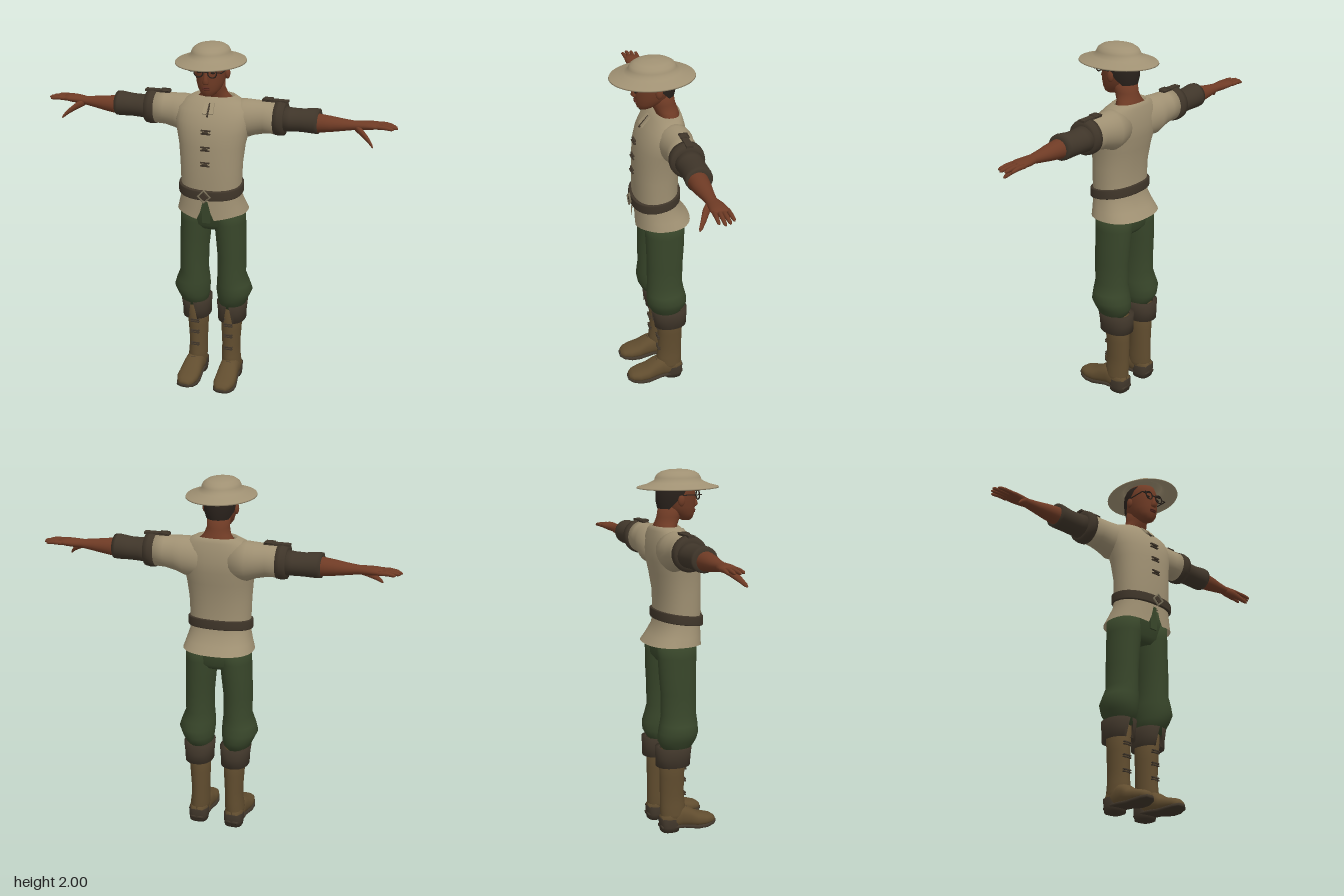
import * as THREE from 'three';

const mat = (name, color) => {
  const m = new THREE.MeshStandardMaterial({ color, side: THREE.DoubleSide });
  m.name = name;
  return m;
};

// Skin over elliptical rings along an axis. Section: [x, y, z, radiusA, radiusB, frontGap].
function loft(axis, sections, { n = 28, pow = 1, open = false, caps = true, warp } = {}) {
  const pos = [], idx = [], v = new THREE.Vector3();
  const e = (k) => Math.sign(k) * Math.abs(k) ** pow;
  const m = open ? n + 1 : n;
  const put = (x, y, z) => {
    v.set(x, y, z);
    if (warp) warp(v);
    pos.push(v.x, v.y, v.z);
  };
  for (const [x, y, z, a, b, gap = 0] of sections) {
    for (let j = 0; j < m; j++) {
      const t = Math.PI / 2 + gap + (2 * Math.PI - 2 * gap) * j / n;
      const c = a * e(Math.cos(t)), s = b * e(Math.sin(t));
      if (axis === 'y') put(x + c, y, z + s);
      else if (axis === 'x') put(x, y + c, z - s);
      else put(x + c, y - s, z);
    }
  }
  for (let i = 0; i < sections.length - 1; i++) {
    for (let j = 0; j < n; j++) {
      const k = (j + 1) % m, a = i * m + j, b = i * m + k, c = a + m, d = b + m;
      idx.push(a, c, b, b, c, d);
    }
  }
  if (caps && !open) {
    const last = sections.length - 1;
    for (const i of [0, last]) {
      const centre = pos.length / 3;
      put(...sections[i]);
      for (let j = 0; j < n; j++) {
        const a = i * m + j, b = i * m + (j + 1) % m;
        if (i === 0) idx.push(centre, a, b);
        else idx.push(centre, b, a);
      }
    }
  }
  const g = new THREE.BufferGeometry();
  g.setAttribute('position', new THREE.Float32BufferAttribute(pos, 3));
  g.setIndex(idx);
  g.computeVertexNormals();
  return g;
}

const box = (w, h, d, x, y, z, rx = 0, rz = 0) =>
  new THREE.BoxGeometry(w, h, d).rotateX(rx).rotateZ(rz).translate(x, y, z);

// Mirror across x = 0 and restore the winding.
function mirrored(geo) {
  const g = geo.clone().scale(-1, 1, 1), a = g.index.array;
  for (let i = 0; i < a.length; i += 3) [a[i], a[i + 1]] = [a[i + 1], a[i]];
  g.computeVertexNormals();
  return g;
}

export function createModel() {
  const model = new THREE.Group();
  const cloth = mat('creamCloth', 0xa09173), skin = mat('skin', 0x6f3b25);
  const green = mat('greenCloth', 0x38462a), leather = mat('darkLeather', 0x40362a);
  const boot = mat('bootLeather', 0x614d2f), hair = mat('blackHair', 0x2a221c);
  const lip = mat('lip', 0x592a20), metal = mat('metal', 0x7d735c);
  const add = (name, geo, material) => {
    const mesh = new THREE.Mesh(geo, material);
    mesh.name = name;
    model.add(mesh);
  };
  const pair = (name, geo, material) => {
    add(name + 'Left', geo, material);
    add(name + 'Right', mirrored(geo), material);
  };

  // Hat
  const profile = [[0.215, 1.9], [0.227, 1.902], [0.224, 1.908], [0.18, 1.919], [0.148, 1.933],
    [0.13, 1.943], [0.125, 1.958], [0.115, 1.974], [0.092, 1.988], [0.055, 1.997], [0, 2]];
  add('hat', new THREE.LatheGeometry(profile.map((p) => new THREE.Vector2(...p)), 48)
    .scale(0.815, 1, 1), cloth);

  // Head, neck and face
  add('head', loft('y', [[0, 1.728, 0.045, 0.022, 0.025], [0, 1.74, 0.04, 0.04, 0.043],
    [0, 1.765, 0.02, 0.06, 0.07], [0, 1.8, 0, 0.074, 0.095], [0, 1.85, -0.01, 0.083, 0.105],
    [0, 1.9, -0.01, 0.084, 0.103], [0, 1.95, -0.01, 0.07, 0.085]]), skin);
  add('neck', loft('y', [[0, 1.64, -0.085, 0.1, 0.06], [0, 1.69, -0.08, 0.094, 0.06],
    [0, 1.715, -0.07, 0.072, 0.062], [0, 1.75, -0.055, 0.06, 0.065],
    [0, 1.81, -0.04, 0.062, 0.07]]), skin);
  add('hair', loft('y', [[0, 1.795, -0.015, 0.076, 0.1, 2.2], [0, 1.83, -0.013, 0.085, 0.11, 1.85],
    [0, 1.87, -0.012, 0.09, 0.112, 1.5], [0, 1.91, -0.012, 0.09, 0.108, 1.25],
    [0, 1.94, -0.012, 0.078, 0.094, 1]], { open: true }), hair);
  add('nose', loft('y', [[0, 1.8, 0.092, 0.014, 0.012], [0, 1.81, 0.097, 0.019, 0.019],
    [0, 1.83, 0.095, 0.012, 0.015], [0, 1.87, 0.09, 0.009, 0.009]], { n: 12 }), skin);
  for (const [y, z] of [[1.781, 0.09], [1.772, 0.088]])
    add('lip', new THREE.SphereGeometry(1, 12, 8).scale(0.023, 0.0055, 0.01).translate(0, y, z), lip);
  pair('ear', new THREE.SphereGeometry(1, 12, 10).scale(0.013, 0.03, 0.02).translate(0.087, 1.84, -0.015), skin);
  pair('eye', new THREE.SphereGeometry(1, 12, 8).scale(0.014, 0.006, 0.006).translate(0.036, 1.862, 0.087), hair);
  pair('brow', box(0.04, 0.007, 0.008, 0.038, 1.889, 0.085, 0, -0.08), hair);
  pair('glassesRim', new THREE.TorusGeometry(0.024, 0.0035, 6, 24).translate(0.037, 1.863, 0.1), hair);
  pair('glassesArm', box(0.004, 0.005, 0.12, 0.088, 1.868, 0.04), hair);
  pair('glassesHinge', box(0.03, 0.005, 0.005, 0.075, 1.868, 0.098), hair);
  add('glassesBridge', box(0.024, 0.005, 0.005, 0, 1.868, 0.103), hair);

  // Shirt
  add('shirt', loft('y', [[0, 1.15, -0.013, 0.163, 0.118], [0, 1.25, -0.01, 0.168, 0.12],
    [0, 1.35, -0.012, 0.172, 0.121], [0, 1.45, -0.022, 0.182, 0.128], [0, 1.52, -0.033, 0.198, 0.131],
    [0, 1.58, -0.043, 0.207, 0.125], [0, 1.64, -0.054, 0.2, 0.107], [0, 1.68, -0.068, 0.16, 0.083],
    [0, 1.705, -0.076, 0.112, 0.066], [0, 1.69, -0.076, 0.1, 0.06]],
  { n: 36, pow: 0.88, caps: false }), cloth);
  add('shirtTail', loft('y', [[0, 1.065, -0.045, 0.196, 0.155, 0.2], [0, 1.11, -0.03, 0.182, 0.138, 0.12],
    [0, 1.16, -0.015, 0.168, 0.122, 0.04], [0, 1.21, -0.012, 0.165, 0.118, 0]],
  { n: 40, pow: 0.85, open: true, warp: (v) => {
    if (v.y < 1.15 && v.z > 0.03) v.y -= 0.03 * (1 - Math.min(1, Math.abs(v.x) / 0.16));
  } }), cloth);
  pair('shirtSleeve', loft('x', [[0.08, 1.585, -0.075, 0.1, 0.085], [0.17, 1.583, -0.08, 0.107, 0.095],
    [0.22, 1.592, -0.082, 0.096, 0.085], [0.28, 1.598, -0.083, 0.088, 0.08],
    [0.35, 1.6, -0.083, 0.087, 0.081]]), cloth);
  add('neckSlit', box(0.008, 0.08, 0.008, 0, 1.648, 0.047, -0.72), leather);
  pair('collarFlap', box(0.022, 0.07, 0.008, 0.017, 1.655, 0.042, -0.72, 0.1), cloth);
  for (const [y, z] of [[1.54, 0.1], [1.45, 0.107], [1.365, 0.111]]) {
    for (const d of [-0.009, 0.009]) add('toggleCord', box(0.052, 0.006, 0.012, 0, y + d, z), leather);
    add('togglePeg', new THREE.CylinderGeometry(0.006, 0.006, 0.03, 8).rotateZ(Math.PI / 2)
      .translate(0, y, z + 0.008), leather);
  }

  // Belt, higher at the back
  const slope = (v) => { v.y -= (v.z + 0.01) * 0.14; };
  add('belt', loft('y', [[0, 1.18, -0.01, 0.16, 0.115], [0, 1.18, -0.01, 0.176, 0.132],
    [0, 1.185, -0.01, 0.179, 0.135], [0, 1.227, -0.01, 0.179, 0.135],
    [0, 1.232, -0.01, 0.176, 0.132], [0, 1.232, -0.01, 0.16, 0.115]],
  { n: 40, pow: 0.88, caps: false, warp: slope }), leather);
  add('buckle', new THREE.TorusGeometry(0.034, 0.006, 6, 4).translate(0, 1.187, 0.13), metal);
  add('buckleCentre', box(0.028, 0.028, 0.012, 0, 1.187, 0.126, 0, Math.PI / 4), leather);

  // Dark arm sleeves, bands and shoulder straps
  pair('armBand', loft('x', [[0.335, 1.6, -0.085, 0.07, 0.07], [0.335, 1.6, -0.085, 0.092, 0.089],
    [0.36, 1.6, -0.085, 0.095, 0.092], [0.388, 1.6, -0.085, 0.09, 0.088],
    [0.388, 1.6, -0.085, 0.06, 0.06]], { caps: false }), leather);
  pair('armSleeve', loft('x', [[0.36, 1.598, -0.088, 0.07, 0.075], [0.42, 1.596, -0.09, 0.063, 0.07],
    [0.48, 1.597, -0.092, 0.062, 0.068], [0.55, 1.6, -0.09, 0.068, 0.07],
    [0.57, 1.6, -0.09, 0.066, 0.068], [0.565, 1.595, -0.085, 0.04, 0.04]]), leather);
  pair('shoulderStrap', box(0.14, 0.012, 0.036, 0.33, 1.692, -0.088), leather);
  pair('strapBuckle', new THREE.TorusGeometry(0.03, 0.005, 6, 4).rotateZ(Math.PI / 4)
    .rotateX(Math.PI / 2).translate(0.29, 1.698, -0.088), leather);

  // Forearms and hands
  pair('forearm', loft('x', [[0.5, 1.593, -0.085, 0.05, 0.052], [0.57, 1.592, -0.083, 0.05, 0.052],
    [0.64, 1.593, -0.085, 0.041, 0.046], [0.7, 1.594, -0.088, 0.032, 0.036],
    [0.76, 1.596, -0.09, 0.024, 0.029], [0.81, 1.6, -0.098, 0.023, 0.04],
    [0.85, 1.602, -0.1, 0.021, 0.045], [0.885, 1.603, -0.102, 0.015, 0.044]], { n: 20 }), skin);
  [[0.955, -0.143, -0.138], [0.975, -0.118, -0.114], [0.983, -0.092, -0.094], [0.965, -0.066, -0.07]]
    .forEach(([tip, zTip, z]) => pair('finger', loft('x', [[0.865, 1.602, z, 0.012, 0.012],
      [(0.87 + tip) / 2, 1.603, (z + zTip) / 2, 0.011, 0.011], [tip - 0.012, 1.599, zTip, 0.009, 0.009],
      [tip, 1.597, zTip, 0.004, 0.004]], { n: 10 }), skin));
  pair('thumb', loft('x', [[0.765, 1.588, -0.08, 0.018, 0.018], [0.8, 1.573, -0.055, 0.021, 0.02],
    [0.84, 1.545, -0.03, 0.015, 0.015], [0.866, 1.52, -0.01, 0.01, 0.01],
    [0.873, 1.512, -0.004, 0.004, 0.004]], { n: 12 }), skin);

  // Trousers
  add('trouserSeat', loft('y', [[0, 0.96, -0.045, 0.09, 0.075], [0, 0.99, -0.045, 0.165, 0.1],
    [0, 1.06, -0.042, 0.178, 0.11], [0, 1.14, -0.025, 0.158, 0.108]], { pow: 0.85 }), green);
  add('trouserFly', box(0.045, 0.14, 0.01, 0, 1.09, 0.088), green);
  pair('trouserLeg', loft('y', [[0.11, 0.465, -0.055, 0.05, 0.06], [0.11, 0.495, -0.055, 0.076, 0.088],
    [0.116, 0.535, -0.055, 0.088, 0.11], [0.124, 0.58, -0.05, 0.101, 0.113],
    [0.118, 0.625, -0.045, 0.093, 0.107], [0.11, 0.68, -0.042, 0.079, 0.1],
    [0.11, 0.8, -0.042, 0.08, 0.101], [0.104, 0.9, -0.045, 0.084, 0.105],
    [0.097, 1, -0.045, 0.087, 0.109], [0.095, 1.08, -0.045, 0.088, 0.11]]), green);

  // Boots with split cuffs, laces, soles and heels
  pair('bootCuff', loft('y', [[0.105, 0.4, -0.074, 0.06, 0.07, 0.3], [0.105, 0.385, -0.074, 0.078, 0.096, 0.3],
    [0.105, 0.44, -0.073, 0.08, 0.099, 0.18], [0.106, 0.495, -0.07, 0.086, 0.102, 0.06],
    [0.106, 0.49, -0.07, 0.06, 0.08, 0.06]], { open: true, pow: 0.9 }), leather);
  pair('bootShaft', loft('y', [[0.105, 0.05, -0.078, 0.05, 0.066], [0.104, 0.1, -0.072, 0.055, 0.074],
    [0.1, 0.15, -0.075, 0.052, 0.072], [0.099, 0.22, -0.078, 0.051, 0.069],
    [0.1, 0.32, -0.078, 0.057, 0.071], [0.102, 0.47, -0.076, 0.065, 0.075]]), boot);
  pair('bootFoot', loft('z', [[0.105, 0.06, -0.145, 0.035, 0.035], [0.105, 0.07, -0.11, 0.052, 0.055],
    [0.105, 0.08, -0.03, 0.054, 0.062], [0.107, 0.07, 0.015, 0.057, 0.056],
    [0.109, 0.052, 0.06, 0.061, 0.043], [0.11, 0.045, 0.11, 0.06, 0.035],
    [0.11, 0.042, 0.15, 0.047, 0.026], [0.11, 0.038, 0.17, 0.028, 0.016]], { pow: 0.85 }), boot);
  pair('bootSole', loft('z', [[0.105, 0.03, -0.15, 0.035, 0.01], [0.105, 0.03, -0.1, 0.053, 0.011],
    [0.106, 0.026, -0.02, 0.053, 0.012], [0.109, 0.014, 0.06, 0.063, 0.013],
    [0.11, 0.015, 0.11, 0.063, 0.013], [0.11, 0.022, 0.155, 0.049, 0.012],
    [0.11, 0.028, 0.177, 0.026, 0.009]], { pow: 0.6 }), leather);
  pair('bootHeel', loft('y', [[0.105, 0, -0.095, 0.05, 0.05], [0.105, 0.03, -0.096, 0.054, 0.054],
    [0.105, 0.075, -0.098, 0.055, 0.054], [0.105, 0.078, -0.098, 0.045, 0.045]], { pow: 0.7 }), leather);
  for (const [y, z] of [[0.36, -0.006], [0.29, -0.008], [0.21, -0.01]])
    for (const d of [-0.006, 0.006]) pair('bootLace', box(0.05, 0.006, 0.014, 0.1, y + d, z), leather);
  pair('bootSeam', new THREE.TorusGeometry(0.046, 0.004, 6, 20, Math.PI).scale(1, 1.5, 1)
    .rotateX(-0.75).translate(0.107, 0.075, 0.052), leather);

  return model;
}
